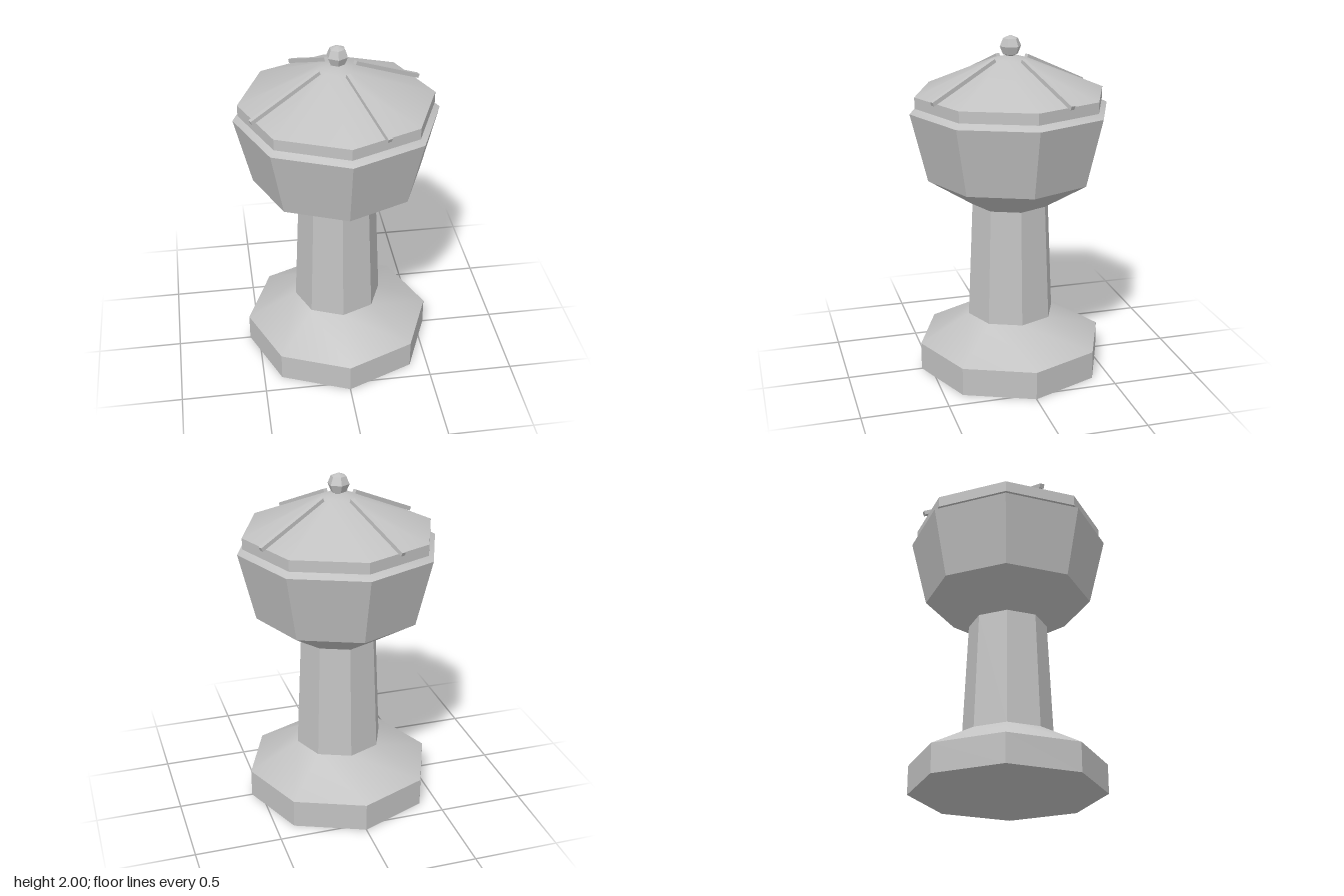
import * as THREE from 'three';
import { toCreasedNormals } from 'three/addons/utils/BufferGeometryUtils.js';

export function createModel() {
  const group = new THREE.Group();
  const stone = new THREE.MeshStandardMaterial({ color: 0xc2c2c2 });
  stone.name = 'pale stone';

  // Faceted solid of revolution: flat walls, softly shaded shallow slopes
  function turned(name, sides, profile) {
    const points = profile.map(([r, y]) => new THREE.Vector2(r, y));
    const geometry = toCreasedNormals(new THREE.LatheGeometry(points, sides), 0.58);
    const mesh = new THREE.Mesh(geometry, stone);
    mesh.name = name;
    group.add(mesh);
    return mesh;
  }

  turned('base', 8, [[0, 0], [0.557, 0], [0.557, 0.167], [0.26, 0.33]]);
  turned('column', 8, [[0.26, 0.33], [0.23, 1.02]]);
  turned('head', 8, [[0.23, 1.02], [0.49, 1.182], [0.587, 1.58], [0.53, 1.61]]);
  turned('roof', 8, [[0.53, 1.61], [0.557, 1.61], [0.557, 1.675], [0.1, 1.868], [0, 1.888]]);

  // Six-sided ball on the roof peak
  const r = 0.0625, k = r * Math.SQRT1_2, c = 2 - r;
  turned('finial', 6, [[0, c - r], [k, c - k], [r, c], [k, c + k], [0, c + r]]);

  // Four ribs, each lying along the middle of every second roof facet
  const inner = new THREE.Vector2(0.115, 1.868);
  const outer = new THREE.Vector2(0.54, 1.678);
  const ribGeometry = new THREE.BoxGeometry(inner.distanceTo(outer), 0.024, 0.026);
  ribGeometry.rotateZ(Math.atan2(outer.y - inner.y, outer.x - inner.x));
  ribGeometry.translate((inner.x + outer.x) / 2, (inner.y + outer.y) / 2, 0);
  for (let i = 0; i < 4; i++) {
    const rib = new THREE.Mesh(ribGeometry, stone);
    rib.name = 'roofRib';
    rib.rotation.y = Math.PI / 8 + i * Math.PI / 2;
    group.add(rib);
  }
  return group;
}
